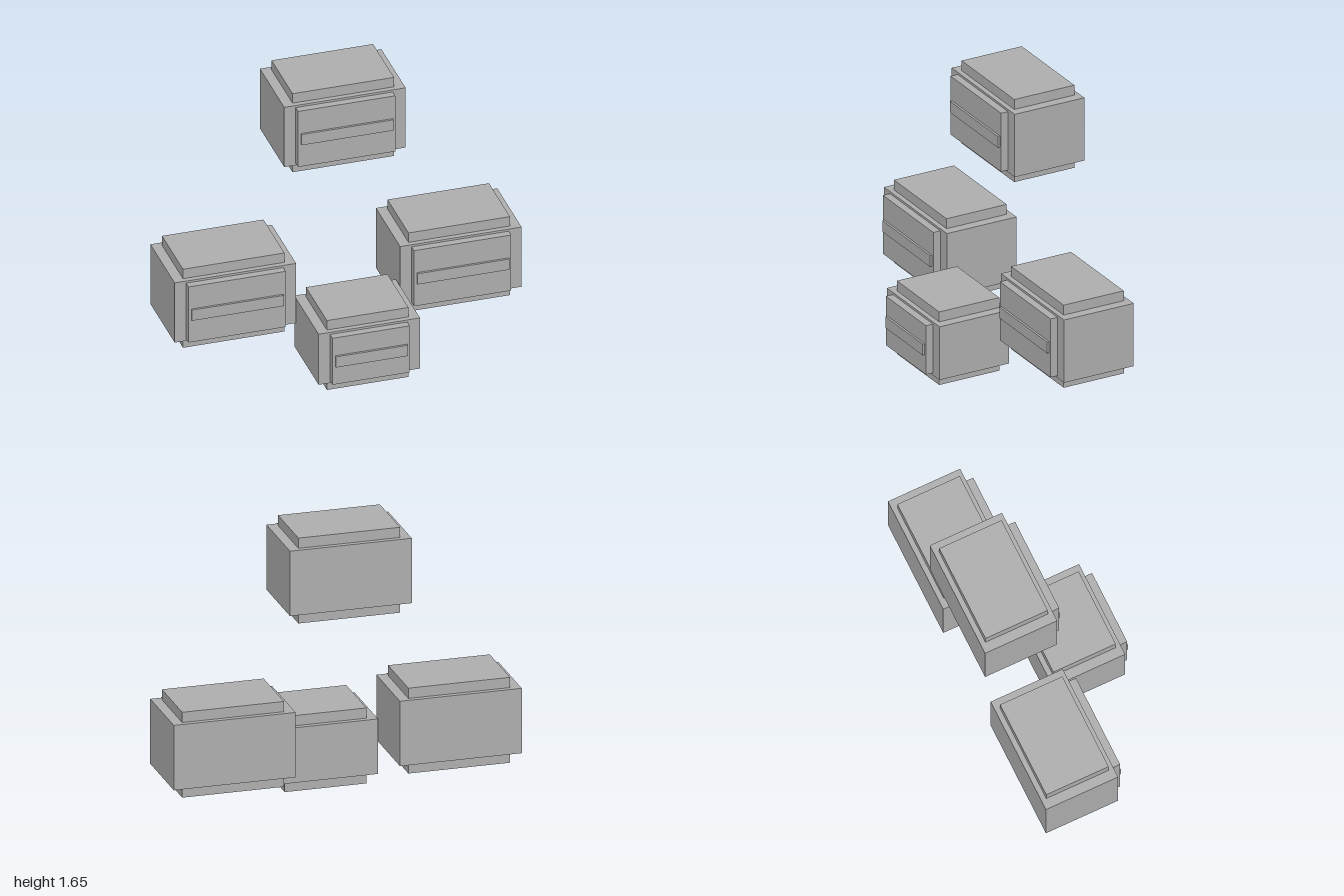
import * as THREE from 'three';

const grey = new THREE.MeshStandardMaterial({ color: 0xb0b0b0 });
grey.name = 'plain grey';

function box(name, w, h, d, x, y, z) {
  const mesh = new THREE.Mesh(new THREE.BoxGeometry(w, h, d), grey);
  mesh.name = name;
  mesh.position.set(x, y, z);
  return mesh;
}

// One block, centred on its own main body
function createBlock(name, w, h, x, y, z) {
  const depth = 0.44, cap = 0.06, front = depth / 2;
  const block = new THREE.Group();
  block.name = name;
  block.position.set(x, y, z);
  block.add(box('body', w, h, depth, 0, 0, 0));

  // Inset slabs above and below the body
  for (const side of [1, -1]) {
    block.add(box(side > 0 ? 'topSlab' : 'bottomSlab',
      w - 0.115, cap, 0.38, 0, side * (h + cap) / 2, 0));
  }

  // Raised front panel with a thin horizontal bar
  const panelDepth = 0.044, barDepth = 0.013;
  block.add(box('frontPanel', w - 0.14, h - 0.026, panelDepth,
    -0.004, 0, front + panelDepth / 2));
  block.add(box('frontBar', w - 0.17, 0.068, barDepth,
    -0.003, 0, front + panelDepth + barDepth / 2));
  return block;
}

export function createModel() {
  const model = new THREE.Group();
  model.name = 'blockSet';
  model.add(createBlock('upperBlock', 0.70, 0.38, 0, 1.40, -0.248));
  model.add(createBlock('leftBlock', 0.70, 0.38, 0.65, 0.43, -0.19));
  model.add(createBlock('rightBlock', 0.70, 0.38, -0.65, 0.43, -0.19));
  model.add(createBlock('centreBlock', 0.585, 0.322, 0, 0.221, 0.194));
  return model;
}
